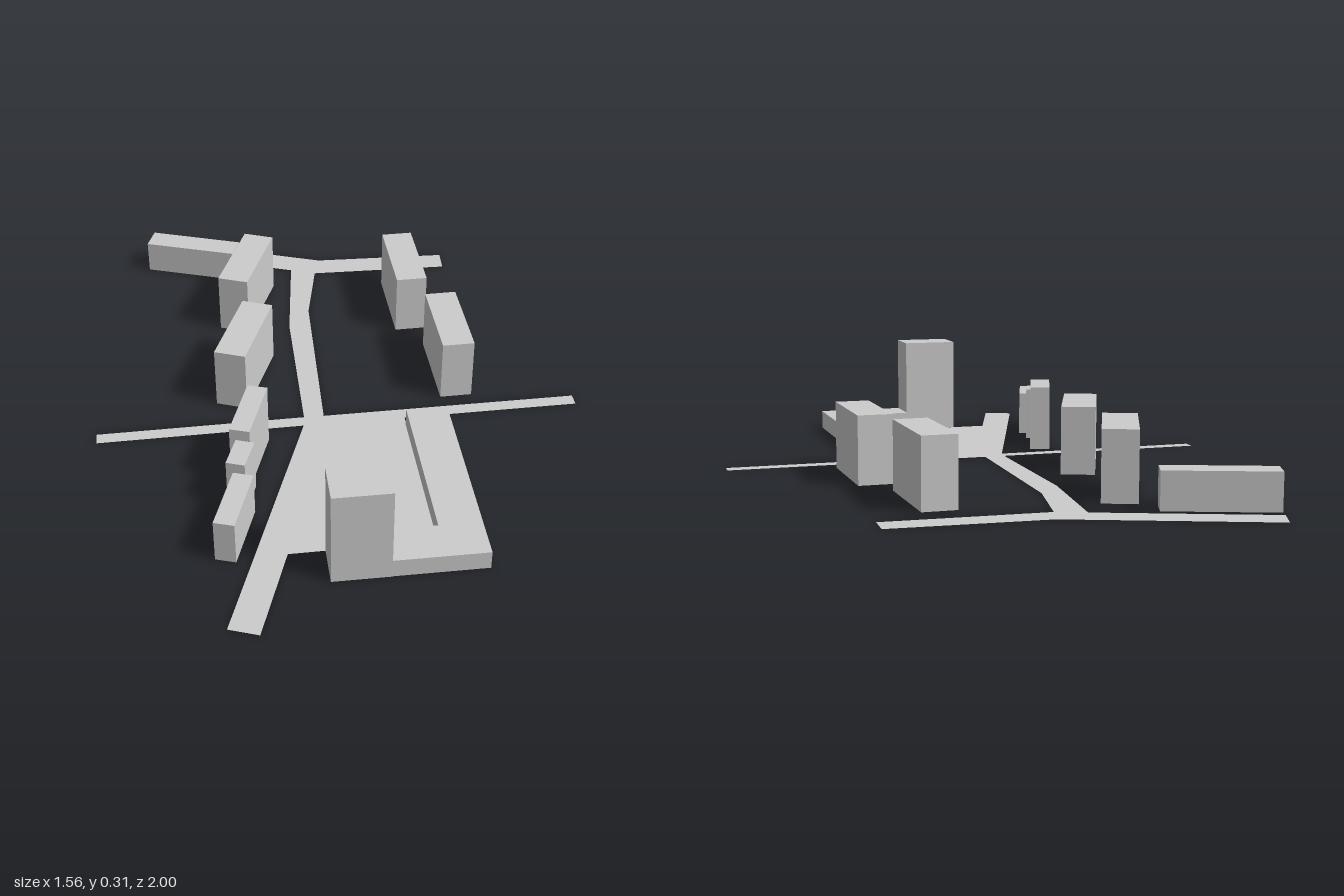
import * as THREE from 'three';

const material = new THREE.MeshStandardMaterial({ color: 0xcccccc, flatShading: true });
const sheet = new THREE.MeshStandardMaterial({ color: 0xcccccc, flatShading: true, side: THREE.DoubleSide });

// Plan outline given as [x, z] pairs; rotateX(-90 deg) lays it on the ground
const plan = (points) => new THREE.Shape(points.map(([x, z]) => new THREE.Vector2(x, -z)));

function addMesh(group, name, geometry, mat = material) {
  const mesh = new THREE.Mesh(geometry, mat);
  mesh.name = name;
  group.add(mesh);
  return mesh;
}

// Upright block standing on the ground, turned about y
function addBlock(group, name, x, z, width, depth, height, turn) {
  const block = addMesh(group, name, new THREE.BoxGeometry(width, height, depth));
  block.position.set(x, height / 2, z);
  block.rotation.y = turn;
}

export function createModel() {
  const model = new THREE.Group();
  model.name = 'sitePlan';

  // Flat streets and square in one sheet
  const streets = plan([
    [-0.763, -0.968], [-0.17, -0.905], [0.277, -1], [0.293, -0.92], [-0.172, -0.815],
    [-0.161, -0.566], [-0.03, 0.027], [0.765, -0.18], [0.776, -0.138], [0.23, 0.005],
    [0.372, 0.568], [-0.05, 0.677], [-0.077, 0.998], [-0.17, 0.988], [-0.087, 0.085],
    [-0.721, 0.254], [-0.732, 0.212], [-0.092, 0.042], [-0.214, -0.46], [-0.262, -0.825],
    [-0.774, -0.878],
  ]);
  addMesh(model, 'streetsAndSquare', new THREE.ShapeGeometry(streets).rotateX(-Math.PI / 2), sheet);

  // Low L-shaped wing around the square, with a tower at its end
  const wing = plan([
    [0.236, 0.04], [0.364, 0.007], [0.531, 0.661], [0.256, 0.73], [0.225, 0.606], [0.372, 0.568],
  ]);
  addMesh(model, 'lowWing',
    new THREE.ExtrudeGeometry(wing, { depth: 0.06, bevelEnabled: false }).rotateX(-Math.PI / 2));
  addBlock(model, 'tower', 0.156, 0.691, 0.175, 0.126, 0.31, 0.245);

  // Surrounding houses: name, x, z, width, depth, height, turn
  const houses = [
    ['backLowHouse', -0.618, -0.793, 0.323, 0.083, 0.11, -0.093],
    ['westHouseBack', -0.38, -0.569, 0.103, 0.304, 0.205, -0.13],
    ['westHouseMiddle', -0.313, -0.14, 0.103, 0.304, 0.205, -0.13],
    ['rowHouseTall', -0.226, 0.277, 0.063, 0.222, 0.205, -0.08],
    ['rowHouseMiddle', -0.223, 0.446, 0.058, 0.108, 0.17, -0.1],
    ['rowHouseLow', -0.213, 0.616, 0.063, 0.221, 0.14, -0.08],
    ['eastHouseBack', 0.167, -0.647, 0.103, 0.303, 0.205, 0.262],
    ['eastHouseFront', 0.347, -0.28, 0.103, 0.303, 0.205, 0.262],
  ];
  houses.forEach((house) => addBlock(model, ...house));

  return model;
}
